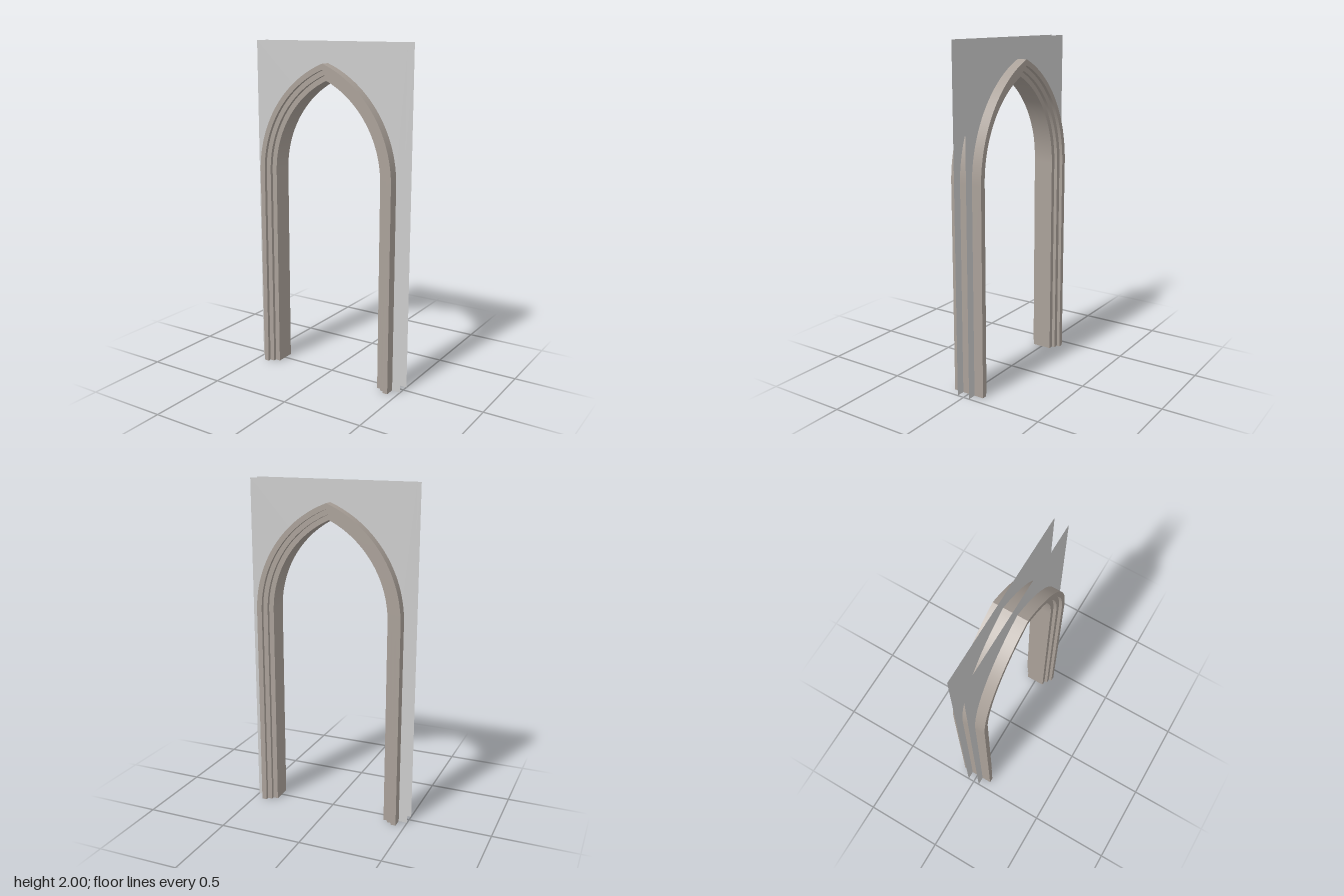
import * as THREE from 'three';
import { mergeGeometries } from 'three/addons/utils/BufferGeometryUtils.js';

const SPRING = 1.23;      // height where the arch leaves the jambs
const CENTRE = 0.249;     // distance of each arc centre past the middle line
const OUTER = 0.447;      // half width of the outer edge
const SEGMENTS = 28;

// Half of a pointed arch, from the floor to the apex, for a given half width
function archHalf(halfWidth) {
  const r = halfWidth + CENTRE;
  const end = Math.acos(CENTRE / r);
  const points = [[halfWidth, 0]];
  for (let i = 0; i <= SEGMENTS; i++) {
    const t = (end * i) / SEGMENTS;
    points.push([r * Math.cos(t) - CENTRE, SPRING + r * Math.sin(t)]);
  }
  return points;
}

// One smooth face of the moulding, between two profile corners [halfWidth, z]
function strip(p, q, side) {
  const a = archHalf(p[0]);
  const b = archHalf(q[0]);
  const positions = [];
  const index = [];
  a.forEach((pt, i) => {
    positions.push(side * pt[0], pt[1], p[1], side * b[i][0], b[i][1], q[1]);
    if (i === a.length - 1) return;
    const k = 2 * i;
    if (side > 0) index.push(k, k + 2, k + 1, k + 1, k + 2, k + 3);
    else index.push(k, k + 1, k + 2, k + 1, k + 3, k + 2);
  });
  const geometry = new THREE.BufferGeometry();
  geometry.setAttribute('position', new THREE.Float32BufferAttribute(positions, 3));
  geometry.setIndex(index);
  geometry.computeVertexNormals();
  return geometry;
}

export function createModel() {
  const model = new THREE.Group();
  model.name = 'pointedArchway';

  const stone = new THREE.MeshStandardMaterial({ color: 0xaaa199 });
  stone.name = 'warm stone';
  const plaster = new THREE.MeshStandardMaterial({ color: 0xcccccc, side: THREE.DoubleSide });
  plaster.name = 'pale grey plaster';

  // Stepped moulding profile, front steps mirrored to the back
  const front = [[OUTER, 0.1], [0.416, 0.1], [0.416, 0.08], [0.387, 0.08], [0.387, 0.06], [0.357, 0.06]];
  const profile = [...front, ...front.map(([w, z]) => [w, -z]).reverse()];
  const faces = [];
  for (const side of [1, -1]) {
    profile.forEach((p, i) => faces.push(strip(p, profile[(i + 1) % profile.length], side)));
  }
  const moulding = new THREE.Mesh(mergeGeometries(faces), stone);
  moulding.name = 'archMoulding';
  model.add(moulding);

  // Flat wall sheets around the arch
  const half = archHalf(OUTER);
  const inner = [...half, ...half.slice(0, -1).reverse().map(([x, y]) => [-x, y])];
  const outline = [[-0.5, 0], [-0.5, 2], [0.5, 2], [0.5, 0], ...inner];
  const wall = new THREE.ShapeGeometry(new THREE.Shape(outline.map(([x, y]) => new THREE.Vector2(x, y))));
  for (const [name, z, turn] of [['frontWall', 0.04, 0], ['backWall', -0.04, Math.PI]]) {
    const panel = new THREE.Mesh(wall, plaster);
    panel.name = name;
    panel.position.z = z;
    panel.rotation.y = turn;
    model.add(panel);
  }

  return model;
}
